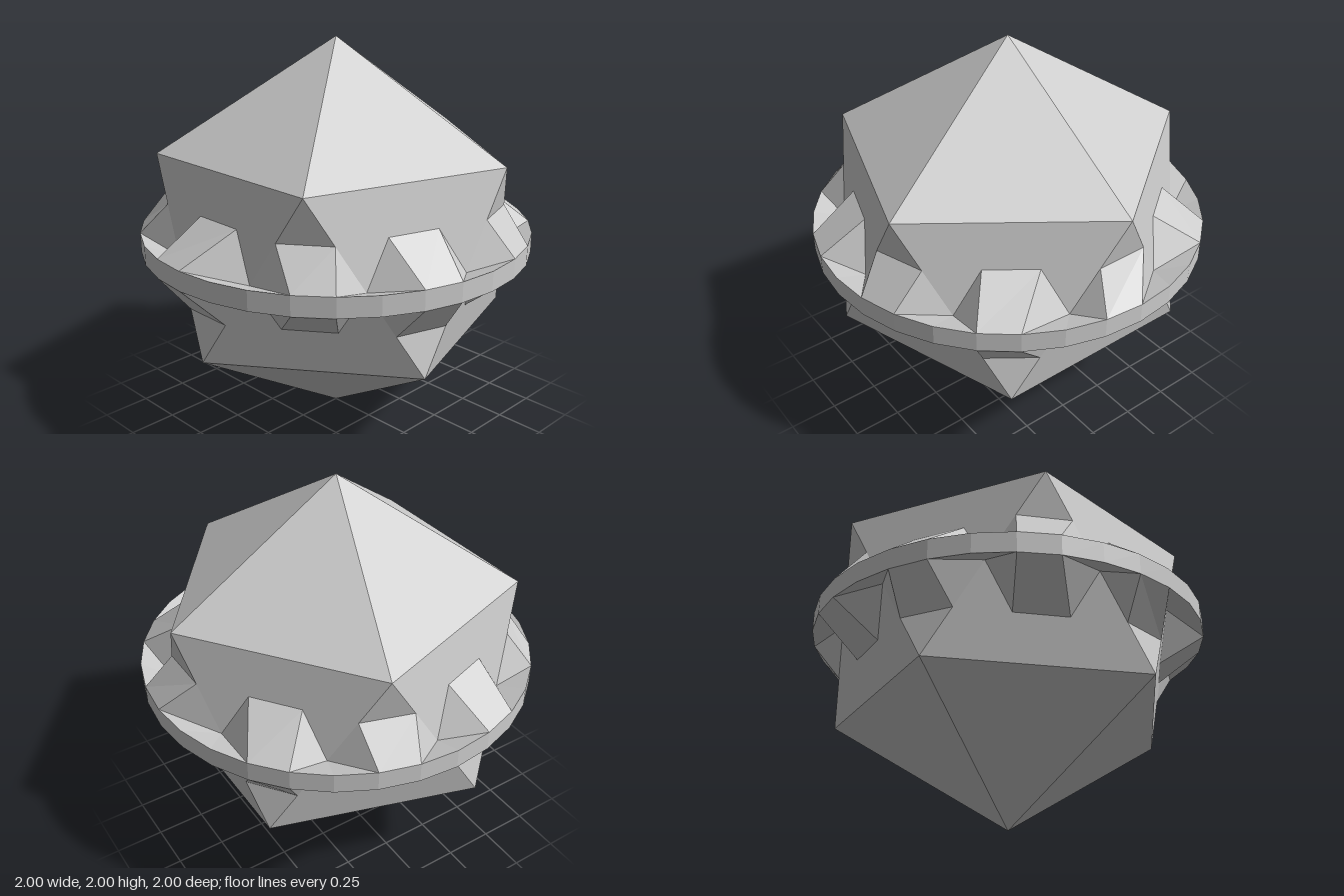
import * as THREE from 'three';

const SIDES = 32;      // facets of the girdle
const TEETH = 10;      // claws above and below the girdle
const HALF_BAND = 0.05;
const RING_Y = 1 / Math.sqrt(5), RING_R = 2 / Math.sqrt(5);

const material = new THREE.MeshStandardMaterial({ color: 0xcccccc, flatShading: true });

// Angle runs from +x towards +z
const polar = (r, angle, y) => new THREE.Vector3(r * Math.cos(angle), y, r * Math.sin(angle));

function meshFromTriangles(name, triangles) {
  const geometry = new THREE.BufferGeometry().setFromPoints(triangles.flat());
  geometry.computeVertexNormals();
  const mesh = new THREE.Mesh(geometry, material);
  mesh.name = name;
  return mesh;
}

// Corner k of the crystal: even ones sit on the upper ring, odd ones on the lower
const corner = (k) => polar(RING_R, k * Math.PI / 5, k % 2 === 0 ? RING_Y : -RING_Y);

// Twenty-sided crystal standing on a point
function crystalBody() {
  const triangles = [];
  for (let k = 0; k < 10; k++) {
    const a = corner(k), b = corner(k + 1), c = corner(k + 2);
    const upper = k % 2 === 0;
    const tip = new THREE.Vector3(0, upper ? 1 : -1, 0);
    triangles.push(upper ? [c, b, a] : [a, b, c]);
    triangles.push(upper ? [c, a, tip] : [a, c, tip]);
  }
  return meshFromTriangles('crystalBody', triangles);
}

// Claws and the valleys between them; side is 1 above the girdle, -1 below
function clawCollar(name, side) {
  const triangles = [];
  const add = (a, b, c) => triangles.push(side > 0 ? [a, b, c] : [c, b, a]);
  const rim = (i) => polar(1, i * 2 * Math.PI / SIDES, side * HALF_BAND);
  const waist = (k) => corner(k + 10).add(corner(k + 11)).multiplyScalar(0.5);
  const start = (k) => Math.floor(k * SIDES / TEETH);

  for (let k = 0; k < TEETH; k++) {
    const w0 = waist(k - 1), w1 = waist(k);
    // The claw's inner edge lies flat on a crystal face, halfway up from the waist
    const pointed = (k % 2 === 0) === (side > 0);
    const radius = pointed ? RING_R : RING_R * Math.cos(Math.PI / 5);
    const target = polar(radius, k * Math.PI / 5, side * RING_Y);
    const t0 = w0.clone().lerp(target, 0.5), t1 = w1.clone().lerp(target, 0.5);
    const o0 = rim(start(k)), o1 = rim(start(k) + 1);

    // Outer slope and two flanks
    add(o1, o0, t0);
    add(o1, t0, t1);
    add(o0, w0, t0);
    add(w1, o1, t1);

    // Valley fan to the next claw
    for (let i = start(k) + 1; i < start(k + 1); i++) add(w1, rim(i + 1), rim(i));
  }
  return meshFromTriangles(name, triangles);
}

export function createModel() {
  const model = new THREE.Group();
  model.name = 'girdledCrystal';

  // Thin faceted band around the middle
  const girdle = new THREE.Mesh(
    new THREE.CylinderGeometry(1, 1, 2 * HALF_BAND, SIDES, 1, true), material);
  girdle.name = 'girdle';

  const parts = [crystalBody(), girdle, clawCollar('upperClaws', 1), clawCollar('lowerClaws', -1)];
  for (const part of parts) {
    part.position.y = 1;
    model.add(part);
  }
  return model;
}
